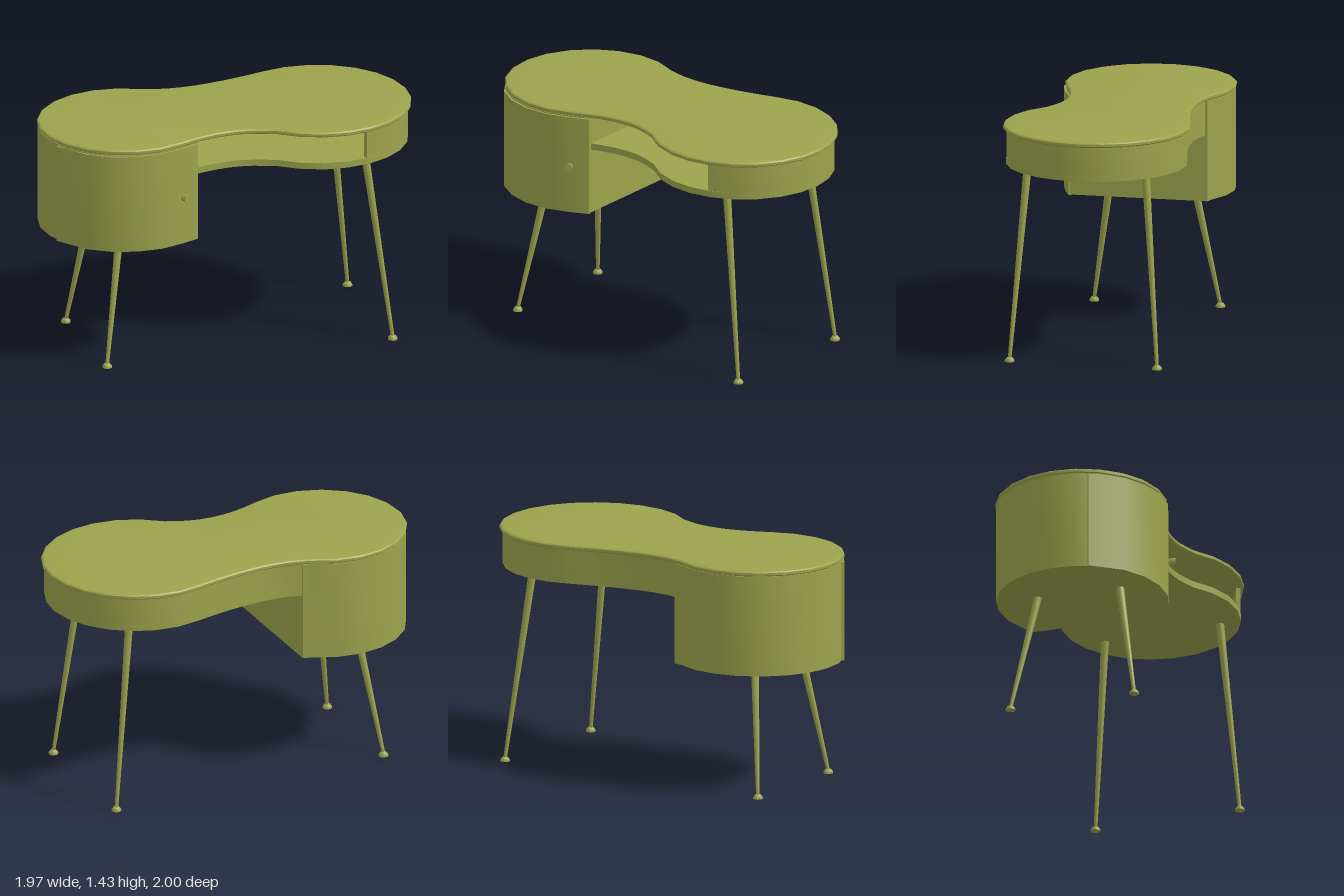
import * as THREE from 'three';
import { toCreasedNormals } from 'three/addons/utils/BufferGeometryUtils.js';

const V2 = (x, z) => new THREE.Vector2(x, z);
const V3 = (x, y, z) => new THREE.Vector3(x, y, z);
const material = new THREE.MeshStandardMaterial({ color: 0x9ca34c });

// Plan points are (x, z). Two round lobes joined by two concave waists.
function lobe(cx, cz, r, a0, a1, n) {
  return Array.from({ length: n + 1 }, (_, i) => {
    const a = a0 + (a1 - a0) * i / n;
    return V2(cx + r * Math.cos(a), cz + r * Math.sin(a));
  });
}
const waist = (a, c, b) => new THREE.QuadraticBezierCurve(a, c, b).getPoints(8).slice(1, -1);
const outline = [
  ...lobe(0.385, -0.41, 0.57, -2.72, 1.5, 16),
  ...waist(V2(0.425, 0.165), V2(0.145, 0.245), V2(0.025, 0.625)),
  ...lobe(-0.475, 0.468, 0.523, 0.304, 4.43, 14),
  ...waist(V2(-0.62, -0.04), V2(-0.3825, -0.1375), V2(-0.135, -0.645)),
];

// Stretch of the outline from point a round to point b
function span(a, b) {
  const nearest = (p) => outline.reduce((best, q, i) =>
    (q.distanceTo(p) < outline[best].distanceTo(p) ? i : best), 0);
  const pts = [a];
  const end = nearest(b);
  for (let i = (nearest(a) + 1) % outline.length; i !== end; i = (i + 1) % outline.length) pts.push(outline[i]);
  return [...pts, b];
}

// Shift an open line outwards (d > 0) or inwards (d < 0)
function offset(pts, d) {
  return pts.map((p, i) => {
    const t = pts[Math.min(i + 1, pts.length - 1)].clone().sub(pts[Math.max(i - 1, 0)]).normalize();
    return V2(p.x + t.y * d, p.y - t.x * d);
  });
}
const strip = (pts, outer, inner) => [...offset(pts, outer), ...offset(pts, inner).reverse()];

// Raise a plan shape from y0 to y1
function slab(name, pts, y0, y1, bevel = 0, bevelSize = 0) {
  const shape = new THREE.Shape(pts.map((p) => V2(p.x, -p.y)));
  const geo = new THREE.ExtrudeGeometry(shape, {
    depth: y1 - y0 - 2 * bevel, bevelEnabled: bevel > 0, bevelThickness: bevel,
    bevelSize, bevelOffset: -bevelSize, bevelSegments: 2,
  });
  geo.rotateX(-Math.PI / 2).translate(0, y0 + bevel, 0);
  const mesh = new THREE.Mesh(toCreasedNormals(geo, 0.5), material);
  mesh.name = name;
  return mesh;
}

// Round bar between two points
function bar(name, from, to, r0, r1, sides) {
  const dir = to.clone().sub(from);
  const geo = new THREE.CylinderGeometry(r1, r0, dir.length(), sides);
  const mesh = new THREE.Mesh(geo, material);
  mesh.position.copy(from).add(to).multiplyScalar(0.5);
  mesh.quaternion.setFromUnitVectors(V3(0, 1, 0), dir.normalize());
  mesh.name = name;
  return mesh;
}

function leg(name, foot, top) {
  const group = new THREE.Group();
  group.name = name;
  group.add(bar('shaft', V3(foot[0], 0.015, foot[1]), V3(...top), 0.011, 0.025, 12));
  const profile = [[0, 0], [0.03, 0], [0.03, 0.01], [0.018, 0.025], [0, 0.03]];
  const pad = new THREE.Mesh(
    toCreasedNormals(new THREE.LatheGeometry(profile.map((p) => V2(...p)), 10), 0.7), material);
  pad.name = 'footPad';
  pad.position.set(foot[0], 0, foot[1]);
  group.add(pad);
  return group;
}

export function createModel() {
  const desk = new THREE.Group();
  desk.name = 'desk';

  // Ends of the cabinet's flat inner face, of the apron and of the door
  const frontCorner = V2(0.065, 0.51);
  const backCorner = V2(-0.575, -0.065);
  const apronEnd = V2(0.89, -0.15);
  const doorEdge = V2(-0.655, 0.958);

  desk.add(slab('tabletop', outline, 1.4, 1.435, 0.01, 0.026));

  // Cabinet under the left-hand lobe, with its curved door and knob
  desk.add(slab('cabinet', offset(span(frontCorner, backCorner), -0.004), 0.78, 1.402));
  desk.add(slab('door', strip(span(frontCorner, doorEdge), 0.009, -0.01), 0.778, 1.395));
  desk.add(bar('knobStem', V3(0.01, 1.08, 0.62), V3(0.055, 1.08, 0.632), 0.014, 0.014, 6));
  desk.add(bar('knob', V3(0.037, 1.08, 0.628), V3(0.072, 1.08, 0.637), 0.022, 0.027, 6));

  // Open shelf under the other lobe, closed at the back by a curved apron
  desk.add(slab('shelf', offset(span(backCorner, frontCorner), -0.018), 1.19, 1.23));
  desk.add(slab('apron', strip(span(backCorner, apronEnd), -0.018, -0.045), 1.23, 1.402));

  // Splayed tapered legs
  desk.add(leg('backLeg', [0.277, -0.97], [0.262, 1.2, -0.8]));
  desk.add(leg('sideLeg', [0.95, -0.337], [0.79, 1.2, -0.277]));
  desk.add(leg('cabinetSideLeg', [-0.915, 0.395], [-0.735, 0.79, 0.405]));
  desk.add(leg('cabinetFrontLeg', [-0.33, 0.92], [-0.345, 0.79, 0.745]));
  return desk;
}
